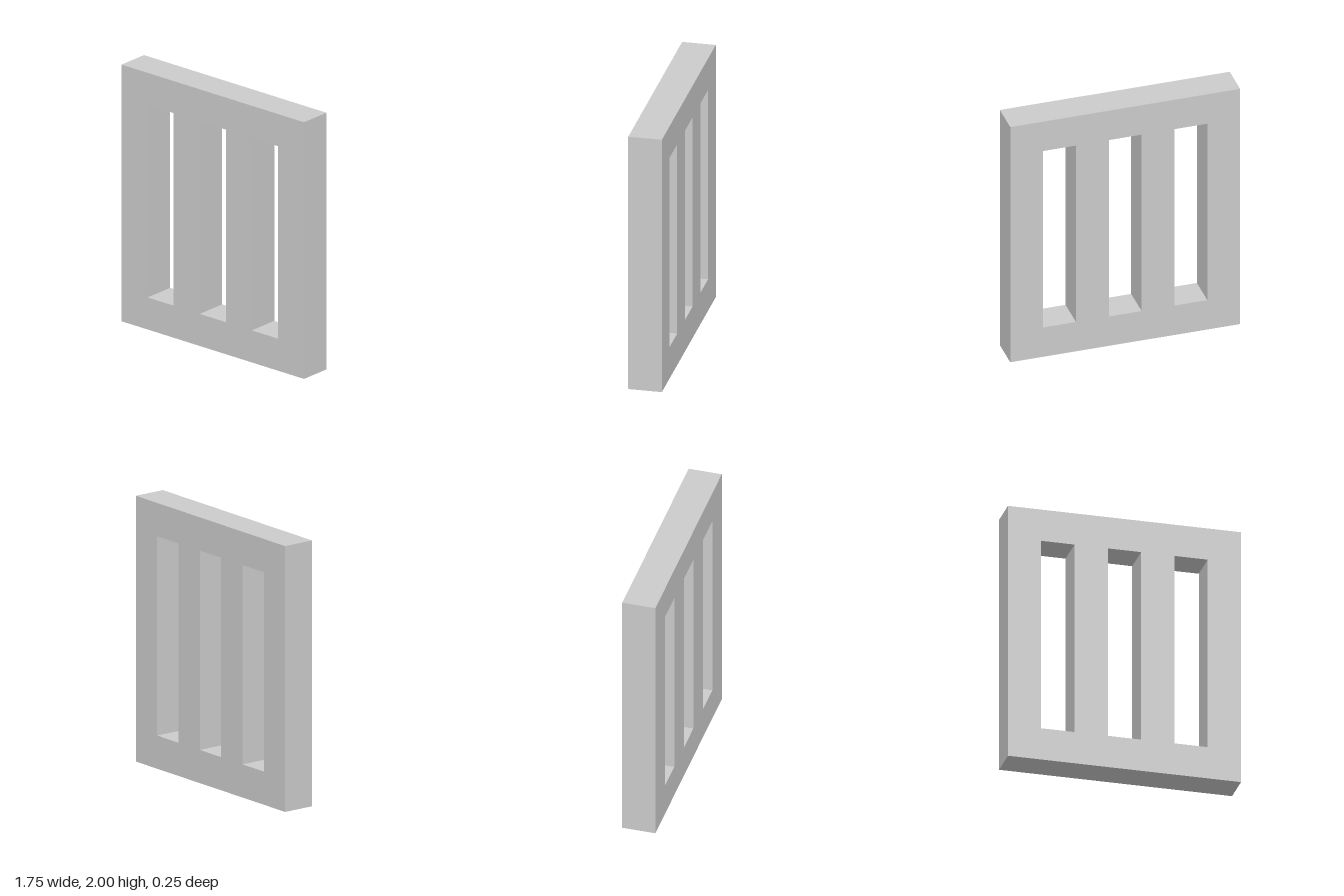
import * as THREE from 'three';

const WIDTH = 1.75, HEIGHT = 2, DEPTH = 0.25;
const SLOT_WIDTH = 0.25, BORDER = 0.25, SLOT_SPACING = 0.5;

// Rectangle outline, centred on x and spanning y0 to y1
function rectangle(PathType, x, y0, y1, width) {
  const h = width / 2;
  return new PathType([
    new THREE.Vector2(x - h, y0),
    new THREE.Vector2(x + h, y0),
    new THREE.Vector2(x + h, y1),
    new THREE.Vector2(x - h, y1),
  ]);
}

export function createModel() {
  const group = new THREE.Group();
  group.name = 'barredWindow';

  // Solid slab with three upright slots cut right through
  const outline = rectangle(THREE.Shape, 0, 0, HEIGHT, WIDTH);
  for (const i of [-1, 0, 1]) {
    outline.holes.push(
      rectangle(THREE.Path, i * SLOT_SPACING, BORDER, HEIGHT - BORDER, SLOT_WIDTH)
    );
  }
  const geometry = new THREE.ExtrudeGeometry(outline, { depth: DEPTH, bevelEnabled: false });
  geometry.translate(0, 0, -DEPTH / 2);

  const material = new THREE.MeshStandardMaterial({ color: 0xcccccc, flatShading: true });
  const panel = new THREE.Mesh(geometry, material);
  panel.name = 'slottedPanel';
  group.add(panel);

  return group;
}
